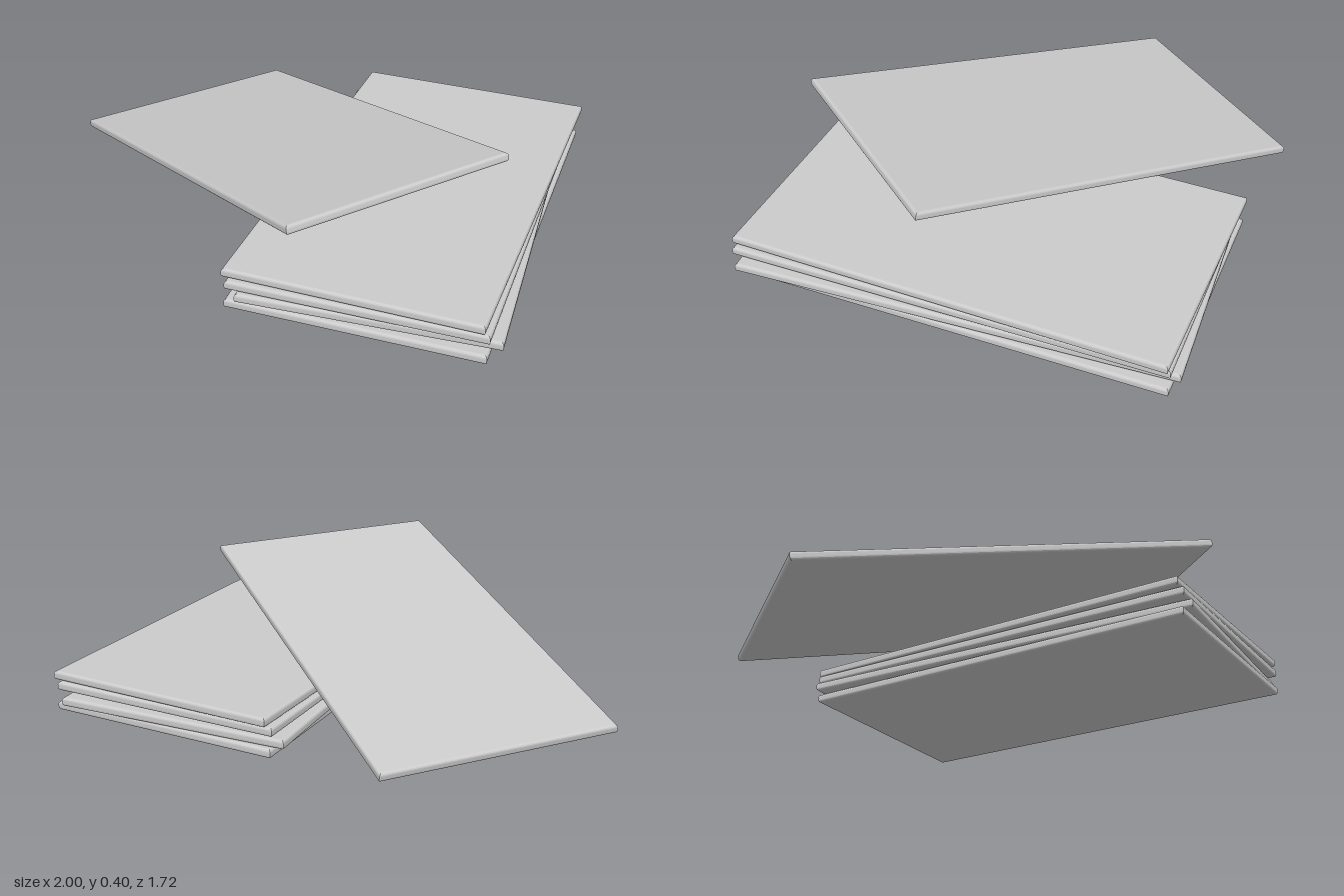
import * as THREE from 'three';

const WIDTH = 0.927, LENGTH = 1.645, THICK = 0.034, BEVEL = 0.011;

// Flat board with square corners and softly rounded edges, centred on its origin
function boardGeometry() {
  const w = WIDTH / 2, l = LENGTH / 2;
  const outline = new THREE.Shape([
    new THREE.Vector2(-w, -l), new THREE.Vector2(w, -l),
    new THREE.Vector2(w, l), new THREE.Vector2(-w, l),
  ]);
  const geometry = new THREE.ExtrudeGeometry(outline, {
    depth: THICK - 2 * BEVEL,
    bevelEnabled: true,
    bevelThickness: BEVEL,
    bevelSize: BEVEL,
    bevelOffset: -BEVEL,
    bevelSegments: 4,
  });
  geometry.rotateX(-Math.PI / 2);
  geometry.center();
  return geometry;
}

export function createModel() {
  const model = new THREE.Group();
  model.name = 'boardPile';
  const material = new THREE.MeshStandardMaterial({ color: 0xcccccc });
  const geometry = boardGeometry();

  function addBoard(name, position, yaw, pitch = 0) {
    const board = new THREE.Mesh(geometry, material);
    board.name = name;
    board.position.set(...position);
    board.rotation.set(pitch, yaw, 0, 'YXZ');
    model.add(board);
  }

  // Stack, each board lying slightly askew
  addBoard('bottomBoard', [0.485, 0.018, 0], 0.002);
  addBoard('secondBoard', [0.487, 0.057, -0.005], 0.056, -0.006);
  addBoard('thirdBoard', [0.485, 0.098, 0.002], 0.009);
  addBoard('topBoard', [0.486, 0.136, -0.003], -0.013);

  // Board leaning across the stack
  addBoard('leaningBoard', [-0.079, 0.219, -0.005], 0.907, -0.207);

  return model;
}
